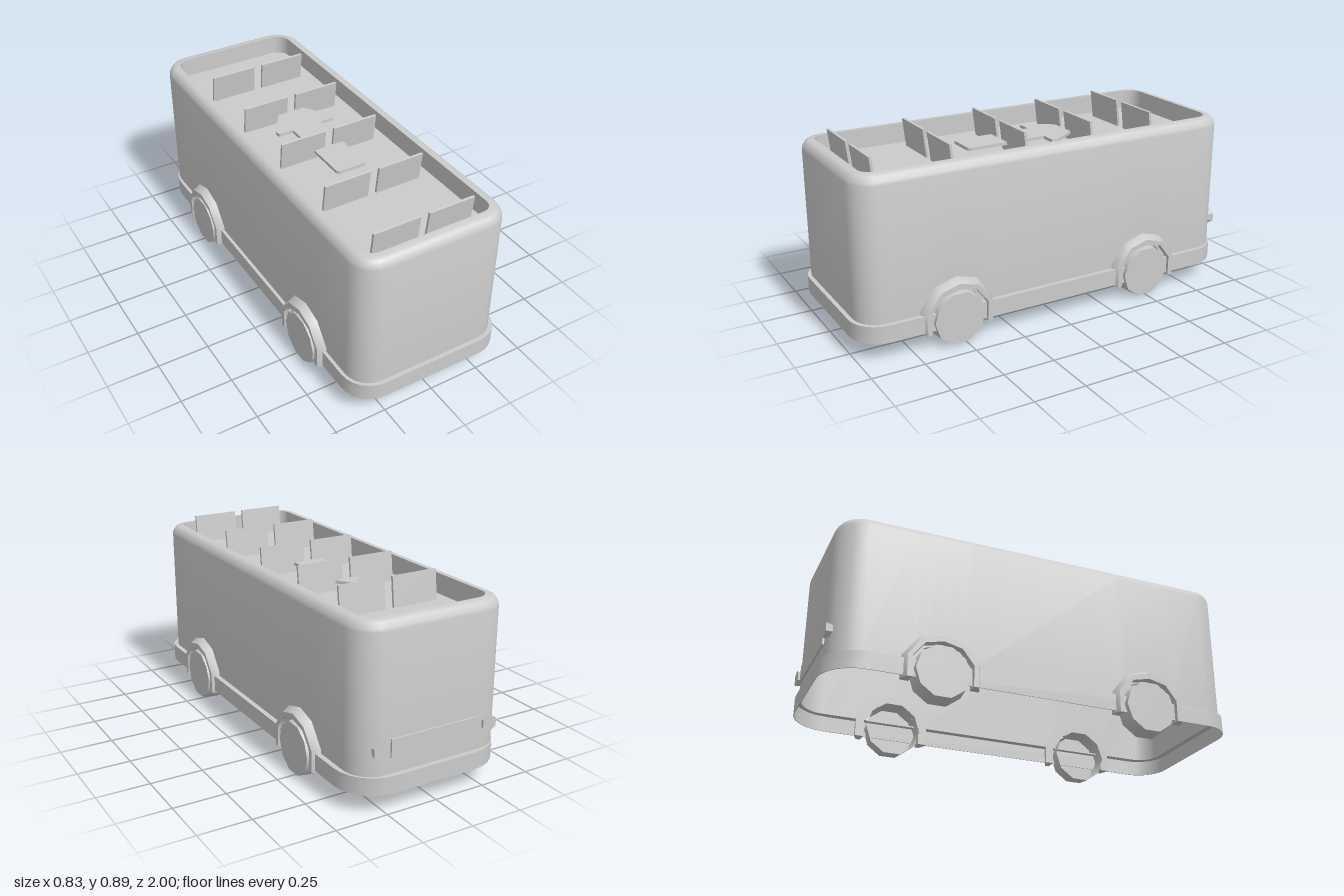
import * as THREE from 'three';
import { toCreasedNormals } from 'three/addons/utils/BufferGeometryUtils.js';

const material = new THREE.MeshStandardMaterial({ color: 0xcccccc, side: THREE.DoubleSide });
const flat = new THREE.MeshStandardMaterial({ color: 0xcccccc, side: THREE.DoubleSide, flatShading: true });

const AXLES = [-0.49, 0.53];
// Inner line of a fender, and the opening cut in the body: offset along z, height
const ARCH = [[-0.14, 0.08], [-0.14, 0.18], [-0.085, 0.25], [0, 0.27], [0.085, 0.25], [0.14, 0.18], [0.14, 0.08]];
const CUT = [[-0.13, 0.165], [-0.08, 0.24], [0, 0.268], [0.08, 0.24], [0.13, 0.165]];

function add(parent, name, geometry, mat = material) {
  const mesh = new THREE.Mesh(geometry, mat);
  mesh.name = name;
  parent.add(mesh);
  return mesh;
}

// Joins equal loops of points; optionally closes the run or caps its ends
function loft(loops, closed, crease) {
  const n = loops[0].length, index = [];
  const last = closed ? loops.length : loops.length - 1;
  for (let j = 0; j < last; j++) {
    const k = (j + 1) % loops.length;
    for (let i = 0; i < n; i++) {
      const a = j * n + i, b = k * n + i, c = j * n + (i + 1) % n, d = k * n + (i + 1) % n;
      index.push(a, c, b, b, c, d);
    }
  }
  if (!closed) {
    const e = (loops.length - 1) * n;
    for (let i = 1; i < n - 1; i++) index.push(0, i + 1, i, e, e + i, e + i + 1);
  }
  const g = new THREE.BufferGeometry();
  g.setAttribute('position', new THREE.Float32BufferAttribute(loops.flat(2), 3));
  g.setIndex(index);
  return toCreasedNormals(g, crease);
}

// Sweeps a wall section of [inset, y] around a rectangle with back and front corner radii;
// stops raise its lower edge
function shell(hx, z0, z1, rBack, rFront, section, stops) {
  const loops = [];
  const corner = (sx, cz, r, start) => {
    for (let i = 0; i <= 6; i++) {
      const a = start + (i / 6) * Math.PI / 2;
      loops.push(section.map(([inset, y]) => [
        sx * (hx - r) + (r - inset) * Math.cos(a), y, cz + (r - inset) * Math.sin(a)]));
    }
  };
  const side = (s, list) => list.forEach(([z, low]) =>
    loops.push(section.map(([inset, y]) => [s * (hx - inset), Math.max(y, low), z])));
  corner(1, z1 - rFront, rFront, 0);
  corner(-1, z1 - rFront, rFront, Math.PI / 2);
  side(-1, [...stops].reverse());
  corner(-1, z0 + rBack, rBack, Math.PI);
  corner(1, z0 + rBack, rBack, Math.PI * 1.5);
  side(1, stops);
  return loft(loops, true, 0.6);
}

// Flat plate drawn in x, z with its upper face at y = 0
function plate(shape, depth) {
  return new THREE.ExtrudeGeometry(shape, { depth, bevelEnabled: false }).rotateX(Math.PI / 2);
}

function fenderGeometry() {
  const outer = [[0.18, 0.08], [0.18, 0.19], [0.1, 0.292], [0, 0.32]];
  const mid = [[0.162, 0.08], [0.162, 0.185], [0.092, 0.272], [0, 0.298]];
  const full = half => [...half.map(([z, y]) => [-z, y]), ...half.slice(0, 3).reverse()];
  const o = full(outer), m = full(mid);
  return loft(ARCH.map(([z, y], i) => [
    [0.36, y, z], [0.36, o[i][1], o[i][0]], [0.376, o[i][1], o[i][0]],
    [0.413, m[i][1], m[i][0]], [0.413, y, z]].reverse()), false, 0.8);
}

export function createModel() {
  const model = new THREE.Group();
  model.name = 'openTopBus';

  // Body wall with a rounded rim, thinner below the deck
  add(model, 'body', shell(0.375, -0.974, 0.98, 0.13, 0.115, [
    [0, 0.165], [0, 0.8], [0.004, 0.815], [0.018, 0.836], [0.032, 0.843], [0.06, 0.845],
    [0.06, 0.74], [0.014, 0.74], [0.014, 0.165]],
    AXLES.flatMap(z => CUT.map(([dz, y]) => [z + dz, y]))));

  // Thin skirt around the base, with a lip that meets the body
  add(model, 'skirt', shell(0.395, -0.997, 1, 0.185, 0.14, [
    [0, 0.09], [0, 0.172], [0.028, 0.172], [0.028, 0.165], [0.004, 0.165], [0.004, 0.09]], []))
    .position.x = 0.004;

  // Upper deck inside the rim
  const deck = new THREE.Shape();
  const dx = 0.325, d0 = -0.92, d1 = 0.93, r = 0.06;
  deck.absarc(dx - r, d1 - r, r, 0, Math.PI / 2);
  deck.absarc(-dx + r, d1 - r, r, Math.PI / 2, Math.PI);
  deck.absarc(-dx + r, d0 + r, r, Math.PI, Math.PI * 1.5);
  deck.absarc(dx - r, d0 + r, r, Math.PI * 1.5, Math.PI * 2);
  add(model, 'upperDeck', plate(deck, 0.02)).position.y = 0.75;

  // Thin arrow held above the deck
  const half = [[0.01, -0.348], [0.155, -0.13], [0.15, -0.102], [0.077, -0.102], [0.077, 0.295], [0.066, 0.306]];
  const arrow = new THREE.Shape([...half, ...half.map(([x, z]) => [-x, z]).reverse()]
    .map(p => new THREE.Vector2(...p)));
  add(model, 'deckArrow', plate(arrow, 0.015)).position.y = 0.797;

  // Leaning seat backs in pairs
  const seat = new THREE.BoxGeometry(0.23, 0.15, 0.012);
  for (const z of [-0.605, -0.26, 0.098, 0.475, 0.85]) {
    for (const s of [-1, 1]) {
      const back = add(model, 'seatBack', seat);
      back.position.set(s * 0.137, 0.815, z);
      back.rotation.x = 0.12;
    }
  }

  // Wheels, open on the inside, under angular fenders
  const fender = fenderGeometry();
  const tyre = new THREE.CylinderGeometry(0.125, 0.134, 0.083, 10, 1, true).rotateZ(-Math.PI / 2);
  const disc = new THREE.CircleGeometry(0.125, 10).rotateY(Math.PI / 2);
  for (const z of AXLES) {
    for (const s of [-1, 1]) {
      const wheel = new THREE.Group();
      wheel.name = 'wheelAssembly';
      wheel.position.z = z;
      wheel.rotation.y = s < 0 ? Math.PI : 0;
      add(wheel, 'fender', fender);
      add(wheel, 'tyre', tyre).position.set(0.3715, 0.129, 0);
      add(wheel, 'wheelDisc', disc).position.set(0.413, 0.129, 0);
      model.add(wheel);
    }
  }

  // Flared lamps and a panel on the back
  const lamp = new THREE.CylinderGeometry(0.04, 0.026, 0.05, 6).rotateX(-Math.PI / 2);
  for (const s of [-1, 1]) {
    add(model, 'rearLamp', lamp, flat).position.set(s * 0.28, 0.29, -0.965);
  }
  add(model, 'rearPanel', new THREE.BoxGeometry(0.45, 0.085, 0.02)).position.set(0, 0.29, -0.973);

  return model;
}
